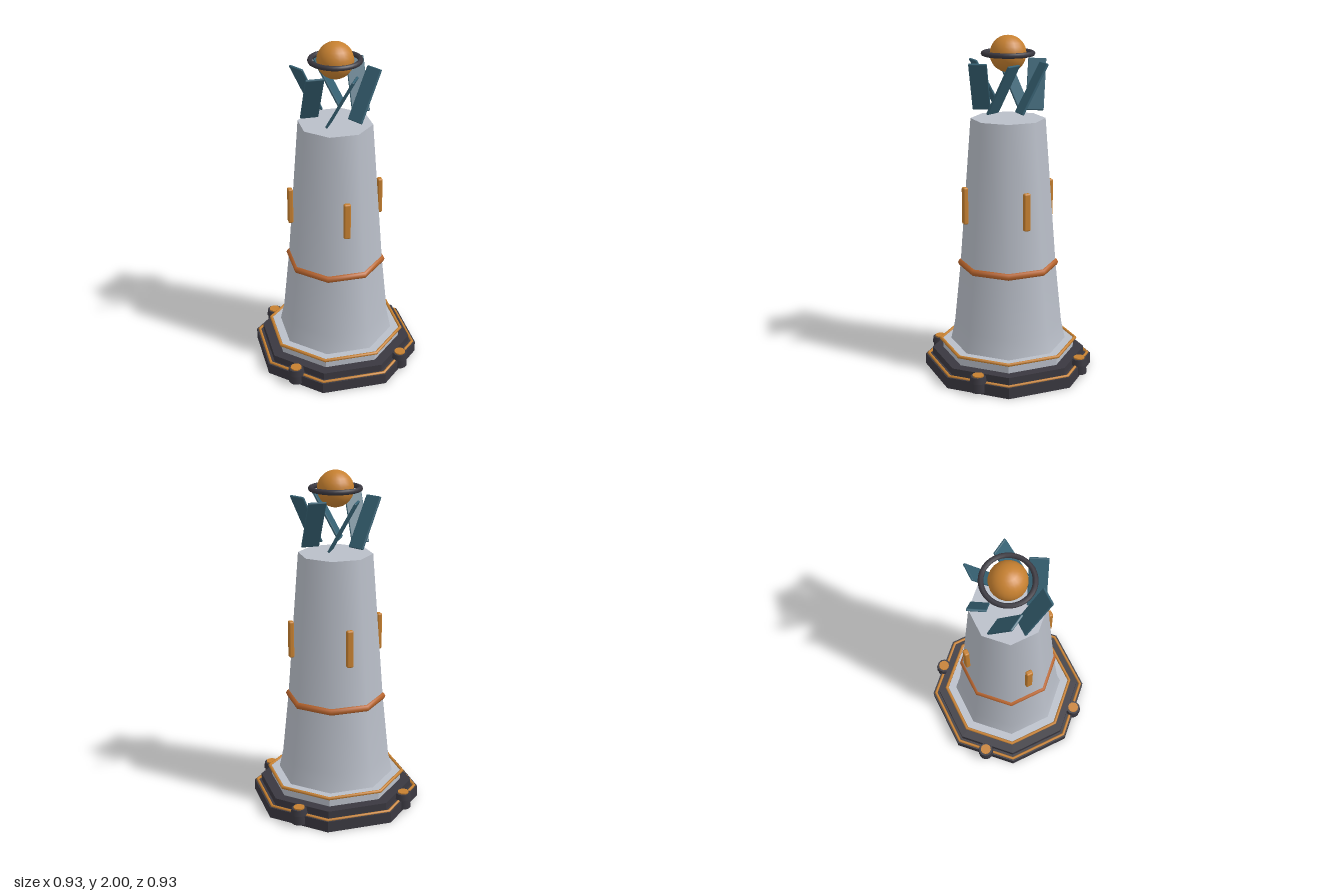
import * as THREE from 'three';
import { RoundedBoxGeometry } from 'three/addons/geometries/RoundedBoxGeometry.js';

const K = 1 / Math.cos(Math.PI / 8); // flat-to-centre distance -> corner radius

export function createModel() {
  const root = new THREE.Group();
  root.name = 'beaconTower';

  const material = (name, color, flatShading = false) => {
    const m = new THREE.MeshStandardMaterial({ color, flatShading });
    m.name = name;
    return m;
  };
  const dark = material('charcoal', 0x3a3840);
  const stone = material('paleGrey', 0xb9bec8);
  const gold = material('gold', 0xc68030);
  const copper = material('copper', 0xb8642c);
  const teal = material('teal', 0x366173);

  const add = (name, geometry, mat, x = 0, y = 0, z = 0, parent = root) => {
    const mesh = new THREE.Mesh(geometry, mat);
    mesh.name = name;
    mesh.position.set(x, y, z);
    parent.add(mesh);
    return mesh;
  };

  // Octagonal slab with its flats facing the axes; creased sides
  const slab = (name, apothem, y0, y1, mat) => {
    const g = new THREE.CylinderGeometry(apothem * K, apothem * K, y1 - y0, 8)
      .rotateY(Math.PI / 8).toNonIndexed();
    g.computeVertexNormals();
    return add(name, g, mat, 0, (y0 + y1) / 2, 0);
  };

  // Octagonal band lying flat
  const band = (name, apothem, tube, y, mat) => {
    const g = new THREE.TorusGeometry(apothem * K, tube, 8, 8)
      .rotateZ(Math.PI / 8).rotateX(Math.PI / 2);
    return add(name, g, mat, 0, y, 0);
  };

  // Stepped base with gold trims
  slab('baseSlab', 0.465, 0, 0.066, dark);
  band('baseTrim', 0.448, 0.009, 0.068, gold);
  slab('baseStep', 0.425, 0.066, 0.11, dark);
  slab('plinth', 0.366, 0.11, 0.168, stone);
  band('plinthTrim', 0.376, 0.01, 0.166, gold);

  // Corner posts on the diagonal sides
  for (const sx of [-1, 1]) for (const sz of [-1, 1]) {
    const post = new THREE.Group();
    post.name = 'cornerPost';
    post.position.set(sx * 0.323, 0, sz * 0.323);
    root.add(post);
    add('postShaft', new THREE.CylinderGeometry(0.042, 0.045, 0.07, 12), dark, 0, 0.05, 0, post);
    add('postCollar', new THREE.CylinderGeometry(0.044, 0.05, 0.035, 12), dark, 0, 0.09, 0, post);
    add('postCap', new THREE.CylinderGeometry(0.033, 0.033, 0.012, 12), gold, 0, 0.109, 0, post);
  }

  // Tapering tower shaft with a closed top
  const profile = [[0.32, 0.165], [0.297, 0.28], [0.262, 0.65], [0.2, 1.525]]
    .map(([a, y]) => new THREE.Vector2(a * K, y));
  add('towerShaft', new THREE.LatheGeometry(profile, 8, Math.PI / 8), stone);
  add('towerTop', new THREE.CircleGeometry(0.2 * K, 8).rotateX(-Math.PI / 2).rotateY(Math.PI / 8),
    stone, 0, 1.525, 0);
  band('towerBand', 0.256, 0.022, 0.653, copper);

  // Upright bars floating just off the four sides
  for (let i = 0; i < 4; i++) {
    const a = i * Math.PI / 2;
    add('sideBar', new RoundedBoxGeometry(0.04, 0.22, 0.03, 2, 0.009), gold,
      Math.sin(a) * 0.27, 1.03, Math.cos(a) * 0.27).rotation.y = a;
  }

  // Pinwheel of six leaning panels
  for (let i = 0; i < 6; i++) {
    const arm = new THREE.Group();
    arm.name = 'panelArm';
    arm.rotation.y = i * Math.PI / 3;
    root.add(arm);
    add('panel', new RoundedBoxGeometry(0.105, 0.318, 0.014, 1, 0.005), teal,
      0.152, 1.713, -0.08, arm).rotation.x = -0.5;
  }

  // Floating orb and its ring
  add('orb', new THREE.SphereGeometry(0.105, 20, 14), gold, 0, 1.895, 0);
  add('orbRing', new THREE.TorusGeometry(0.14, 0.015, 8, 32).rotateX(Math.PI / 2), dark, 0, 1.897, 0);

  return root;
}
